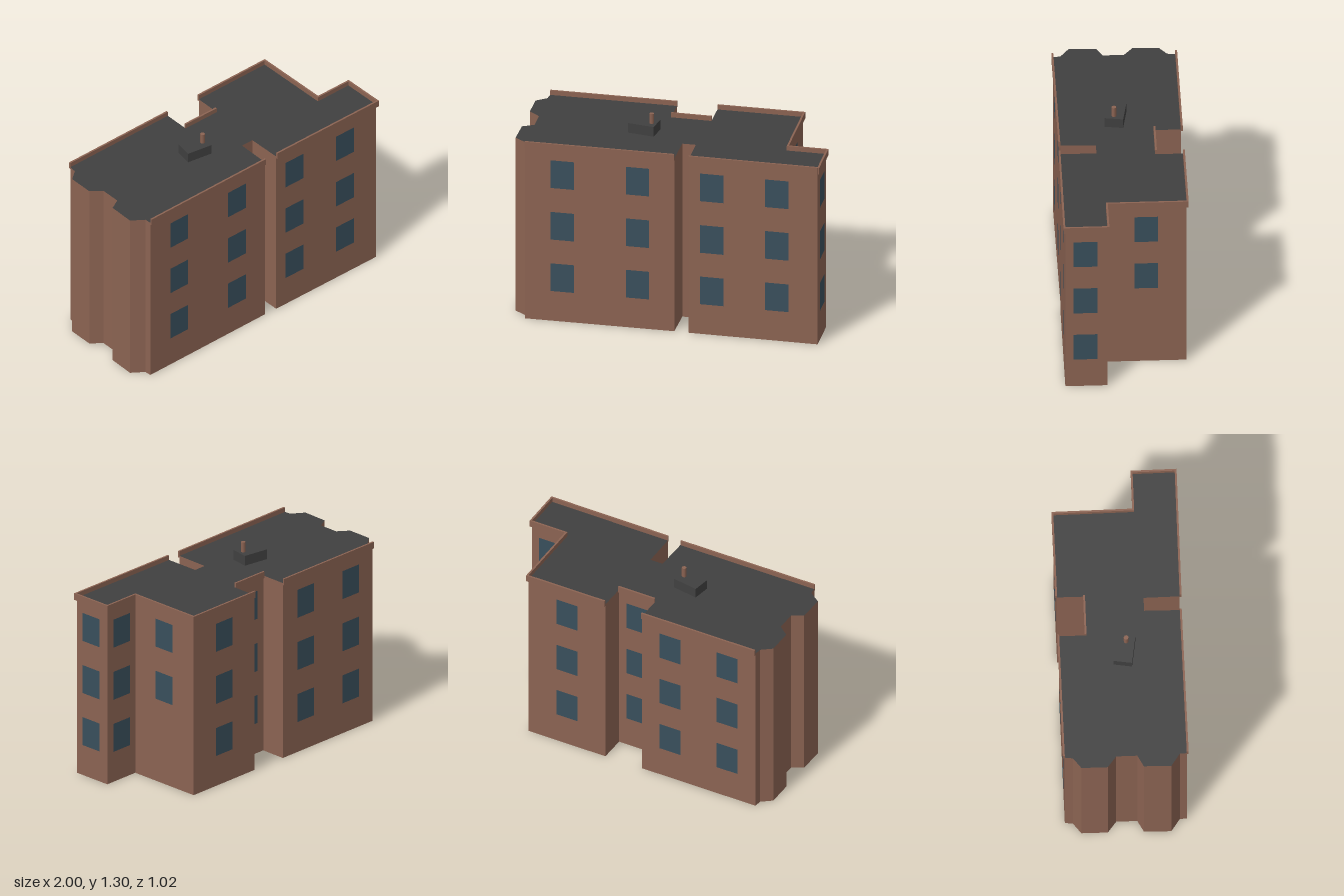
import * as THREE from 'three';

const ROOF_Y = 1.17, PARAPET_LOW = 1.157, PARAPET_TOP = 1.2, PARAPET_T = 0.012;
const ROWS = [0.295, 0.643, 0.992]; // window centre heights, one per storey
const WIN_W = 0.146, WIN_H = 0.187;

// Footprint walked from the back left corner, round the front, to the back.
// Each entry: x, z of the wall's start, then the details of that wall.
const FOOTPRINT = [
  // left end with two angled bays
  { p: [-0.945, -0.245] },
  { p: [-0.944, -0.195] },
  { p: [-1.0, -0.136] },
  { p: [-0.976, 0.024] },
  { p: [-0.9, 0.067] },
  { p: [-0.88, 0.195] },
  { p: [-0.944, 0.243] },
  { p: [-0.922, 0.41] },
  { p: [-0.837, 0.452] },
  // front, split by a narrow recess
  { p: [-0.828, 0.494], parapet: true, windows: [0.25, 0.754] },
  { p: [0.094, 0.342] },
  { p: [0.064, 0.126] },
  { p: [0.147, 0.112] },
  { p: [0.183, 0.331], parapet: true, windows: [0.181, 0.685] },
  // right end and the stepped corner
  { p: [0.983, 0.206], parapet: true, windows: [0.48] },
  { p: [0.941, -0.049], parapet: true, windows: [0.5] },
  { p: [0.697, -0.01], parapet: true, windows: [0.5], firstRow: 1 },
  { p: [0.617, -0.5], parapet: true, windows: [0.5] },
  // back, split by a wide recess
  { p: [0.088, -0.414] },
  { p: [0.113, -0.245], parapet: true, windows: [0.5] },
  { p: [-0.137, -0.206] },
  { p: [-0.162, -0.372], parapet: true, windows: [0.25, 0.752] },
];

export function createModel() {
  const model = new THREE.Group();
  model.name = 'apartmentBlock';

  const brick = new THREE.MeshStandardMaterial({ color: 0x8b6352, side: THREE.DoubleSide });
  brick.name = 'brick';
  const roofing = new THREE.MeshStandardMaterial({ color: 0x404040, side: THREE.DoubleSide });
  roofing.name = 'roofing';
  const glass = new THREE.MeshStandardMaterial({ color: 0x394f5c });
  glass.name = 'glass';

  const add = (name, geometry, material, parent = model) => {
    const mesh = new THREE.Mesh(geometry, material);
    mesh.name = name;
    parent.add(mesh);
    return mesh;
  };

  const count = FOOTPRINT.length;
  const corners = FOOTPRINT.map(({ p }) => new THREE.Vector2(p[0], p[1]));
  const edgeDir = (i) => corners[(i + 1) % count].clone().sub(corners[i % count]);

  FOOTPRINT.forEach((side, i) => {
    const dir = edgeDir(i);
    const length = dir.length();

    // Local frame of the wall: x runs along it, z points outwards
    const wall = new THREE.Group();
    wall.name = 'wallSection';
    wall.position.set(corners[i].x, 0, corners[i].y);
    wall.rotation.y = Math.atan2(-dir.y, dir.x);
    model.add(wall);

    add('wall', new THREE.PlaneGeometry(length, ROOF_Y), brick, wall)
      .position.set(length / 2, ROOF_Y / 2, 0);

    // Parapet, lengthened at its start to close an outer corner
    if (side.parapet) {
      const previous = (i + count - 1) % count;
      const convex = edgeDir(previous).cross(dir) < 0;
      const extra = FOOTPRINT[previous].parapet && convex ? PARAPET_T : 0;
      const height = PARAPET_TOP - PARAPET_LOW;
      add('parapet', new THREE.BoxGeometry(length + extra, height, PARAPET_T), brick, wall)
        .position.set((length - extra) / 2, PARAPET_LOW + height / 2, PARAPET_T / 2);
    }

    // Windows, one column per listed position along the wall
    for (const along of side.windows ?? []) {
      for (const y of ROWS.slice(side.firstRow ?? 0)) {
        add('window', new THREE.PlaneGeometry(WIN_W, WIN_H), glass, wall)
          .position.set(along * length, y, 0.003);
      }
    }
  });

  // Flat roof
  const outline = new THREE.Shape(corners.map((c) => new THREE.Vector2(c.x, -c.y)));
  add('roof', new THREE.ShapeGeometry(outline).rotateX(-Math.PI / 2), roofing).position.y = ROOF_Y;

  // Rooftop housing and its pipe
  add('roofHousing', new THREE.BoxGeometry(0.17, 0.065, 0.114), roofing)
    .position.set(-0.221, ROOF_Y + 0.0325, 0.038);
  add('ventPipe', new THREE.CylinderGeometry(0.015, 0.015, 0.07, 8), brick)
    .position.set(-0.169, 1.265, 0.042);

  return model;
}
